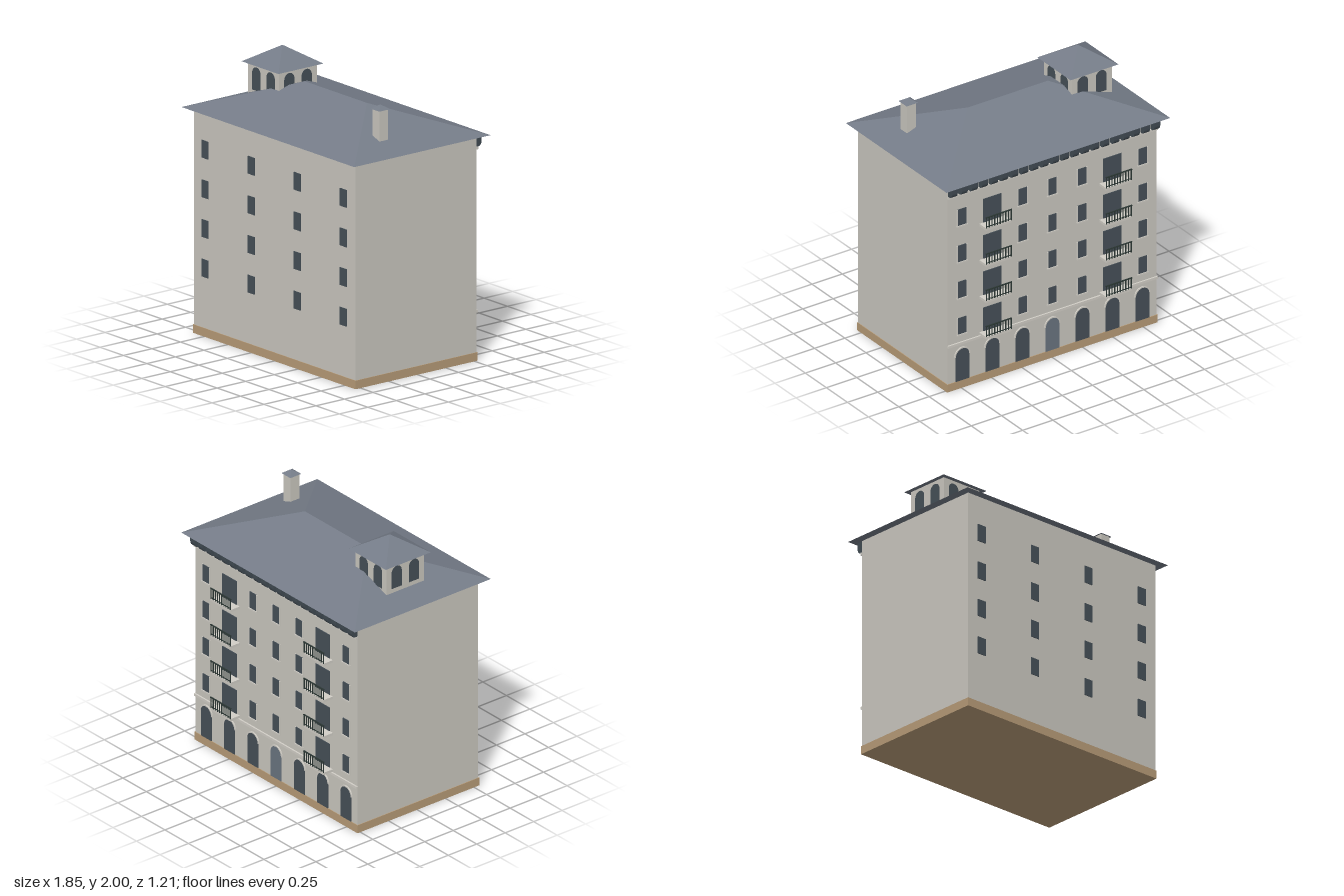
import * as THREE from 'three';

const paint = (name, color) => {
  const m = new THREE.MeshStandardMaterial({ color });
  m.name = name;
  return m;
};

export function createModel() {
  const wall = paint('stone wall', 0xcbc8c0);
  const trim = paint('pale trim', 0xd2cfc7);
  const slate = paint('slate roof', 0x757c88);
  const glass = paint('dark glass', 0x465058);
  const doorPaint = paint('entrance door', 0x6a7580);
  const plinth = paint('tan plinth', 0xb89c78);
  const iron = paint('iron railing', 0x2c3835);
  const bracketPaint = paint('bracket', 0x414b53);

  const model = new THREE.Group();
  model.name = 'apartmentBuilding';

  const add = (parent, name, geometry, material, x = 0, y = 0, z = 0) => {
    const mesh = new THREE.Mesh(geometry, material);
    mesh.name = name;
    mesh.position.set(x, y, z);
    parent.add(mesh);
    return mesh;
  };
  // Box given by its centre in x and z and its bottom in y
  const box = (parent, name, material, w, h, d, x, y, z) =>
    add(parent, name, new THREE.BoxGeometry(w, h, d), material, x, y + h / 2, z);

  // Hipped roof with a closed underside; ridge 0 gives a pyramid
  const hipRoof = (w, d, h, ridge) => {
    const x = w / 2, z = d / 2, r = ridge / 2;
    const A = [-x, 0, z], B = [x, 0, z], C = [x, 0, -z], D = [-x, 0, -z];
    const L = [-r, h, 0], R = [r, h, 0];
    const tris = [A, B, R, B, C, R, C, D, L, D, A, L, A, D, C, A, C, B];
    if (ridge > 0) tris.push(A, R, L, C, L, R);
    else tris.splice(0, 0);
    const g = new THREE.BufferGeometry();
    g.setAttribute('position', new THREE.Float32BufferAttribute(tris.flat(), 3));
    g.computeVertexNormals();
    return g;
  };

  // Round-headed panel standing on y = 0
  const archShape = (w, h) => {
    const r = w / 2, s = new THREE.Shape();
    s.moveTo(-r, 0);
    s.lineTo(r, 0);
    s.lineTo(r, h - r);
    s.absarc(0, h - r, r, 0, Math.PI, false);
    s.closePath();
    return s;
  };
  const extrude = (shape, depth) =>
    new THREE.ExtrudeGeometry(shape, { depth, bevelEnabled: false, curveSegments: 12 });

  // Main block
  box(model, 'walls', wall, 1.725, 1.54, 1.06, 0, 0.055, 0.01);
  box(model, 'plinth', plinth, 1.735, 0.06, 1.07, 0, 0, 0.01);
  add(model, 'mainRoof', hipRoof(1.845, 1.195, 0.205, 0.66), slate, 0, 1.593, 0.003);

  // Plain front with four columns of windows
  const floors = [0.42, 0.70, 0.98, 1.26];
  for (const y of floors)
    for (const x of [-0.74, -0.248, 0.243, 0.735])
      box(model, 'frontWindow', glass, 0.07, 0.125, 0.008, x, y, 0.541);

  // Ornate rear facade, built facing +z and turned around
  const facade = new THREE.Group();
  facade.name = 'rearFacade';
  facade.position.z = -0.52;
  facade.rotation.y = Math.PI;
  model.add(facade);

  const balcony = (x, y) => {
    const g = new THREE.Group();
    g.name = 'balcony';
    g.position.set(x, y, 0);
    facade.add(g);
    box(g, 'balconyDoor', glass, 0.15, 0.18, 0.008, 0, 0.02, 0.002);
    box(g, 'balconySlab', trim, 0.21, 0.018, 0.082, 0, 0, 0.041);
    box(g, 'topRail', iron, 0.215, 0.007, 0.008, 0, 0.096, 0.081);
    box(g, 'bottomRail', iron, 0.21, 0.005, 0.005, 0, 0.026, 0.081);
    for (let i = 0; i < 10; i++)
      box(g, 'baluster', iron, 0.006, 0.08, 0.005, -0.102 + i * 0.204 / 9, 0.018, 0.081);
  };

  for (const y of floors) {
    for (const x of [-0.745, -0.245, 0, 0.245, 0.745]) {
      box(facade, 'rearWindow', glass, 0.07, 0.125, 0.008, x, y, 0.001);
      box(facade, 'windowSill', trim, 0.088, 0.01, 0.014, x, y - 0.01, 0.004);
      for (const s of [-1, 1])
        box(facade, 'windowJamb', trim, 0.007, 0.125, 0.012, x + s * 0.0385, y, 0.001);
    }
    for (const x of [-0.495, 0.495]) balcony(x, y - 0.058);
  }

  // Ground floor arches with raised heads; the middle one is the entrance
  const archPanel = extrude(archShape(0.112, 0.245), 0.006);
  const ring = new THREE.Shape();
  ring.absarc(0, 0, 0.066, 0, Math.PI, false);
  ring.absarc(0, 0, 0.056, Math.PI, 0, true);
  const archHead = extrude(ring, 0.009);
  for (let i = -3; i <= 3; i++) {
    const x = i * 0.2475;
    add(facade, i ? 'groundArch' : 'entranceDoor', archPanel, i ? glass : doorPaint, x, 0.06, -0.001);
    add(facade, 'archHead', archHead, trim, x, 0.249, -0.001);
  }

  // Horizontal bands
  box(facade, 'stringCourse', trim, 1.727, 0.018, 0.014, 0, 0.34, 0.005);
  box(facade, 'corniceBand', trim, 1.727, 0.018, 0.018, 0, 1.492, 0.006);

  // Curved brackets under the eaves
  const side = new THREE.Shape();
  side.moveTo(0, 0);
  side.lineTo(0.022, 0);
  side.quadraticCurveTo(0.045, 0.005, 0.048, 0.035);
  side.lineTo(0.048, 0.083);
  side.lineTo(0, 0.083);
  side.closePath();
  const bracket = extrude(side, 0.048);
  bracket.translate(0, 0, -0.024);
  bracket.rotateY(-Math.PI / 2);
  for (let i = 0; i < 21; i++)
    add(facade, 'eaveBracket', bracket, bracketPaint, -0.835 + i * 1.67 / 20, 1.51, 0);

  // Roof lantern with two arched openings on each side
  const lantern = new THREE.Group();
  lantern.name = 'roofLantern';
  lantern.position.set(-0.575, 0, 0);
  model.add(lantern);
  box(lantern, 'lanternWalls', wall, 0.33, 0.26, 0.33, 0, 1.62, 0);
  add(lantern, 'lanternRoof', hipRoof(0.395, 0.395, 0.125, 0), slate, 0, 1.875, 0);
  const opening = extrude(archShape(0.088, 0.165), 0.004);
  for (let k = 0; k < 4; k++) {
    const face = new THREE.Group();
    face.name = 'lanternSide';
    face.rotation.y = k * Math.PI / 2;
    lantern.add(face);
    for (const x of [-0.076, 0.076])
      add(face, 'lanternOpening', opening, glass, x, 1.688, 0.163);
  }

  // Chimney
  box(model, 'chimney', wall, 0.076, 0.235, 0.076, 0.695, 1.642, 0.185);
  add(model, 'chimneyCap', hipRoof(0.096, 0.096, 0.032, 0), slate, 0.695, 1.874, 0.185);

  return model;
}
